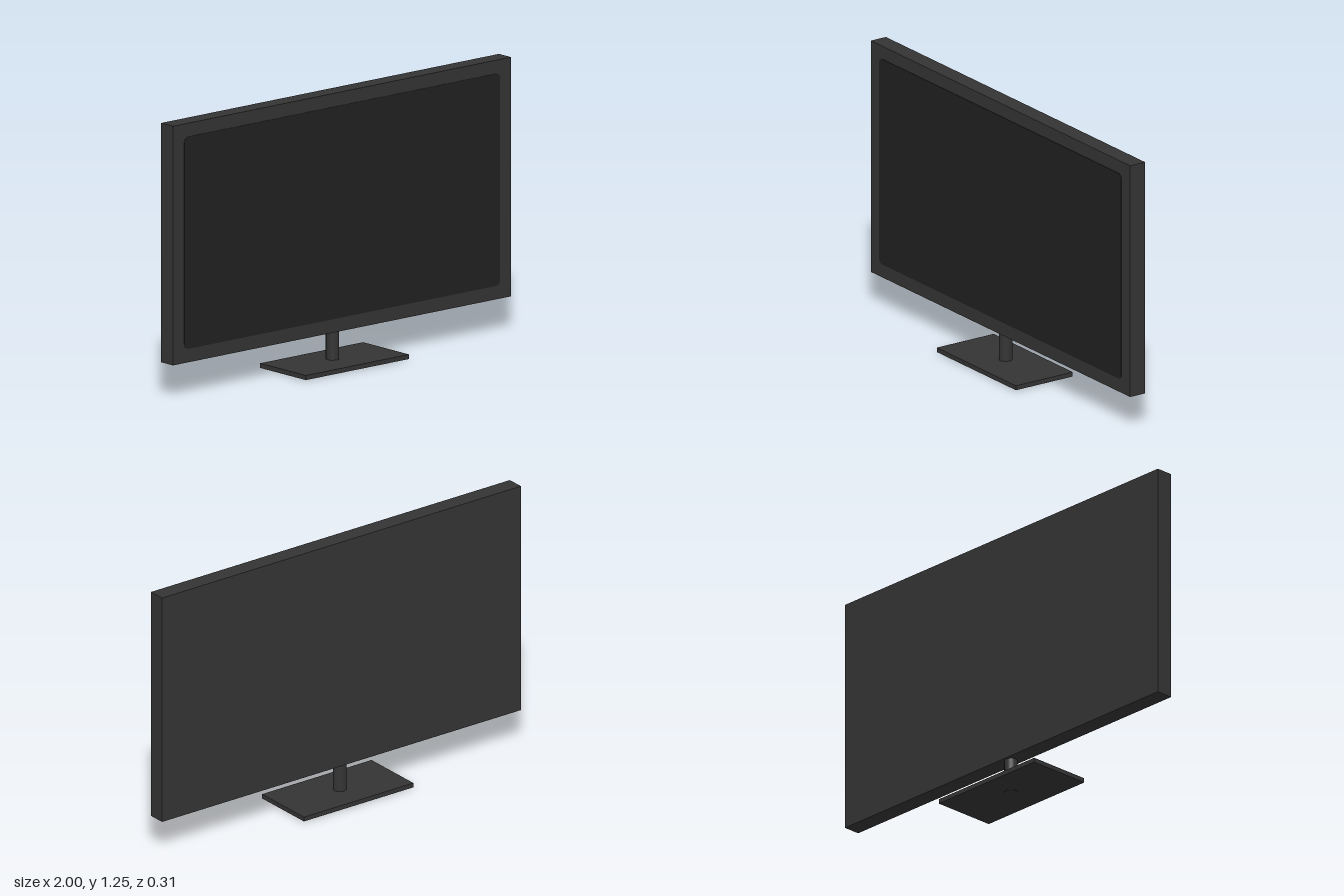
import * as THREE from 'three';

export function createModel() {
  const group = new THREE.Group();
  const casing = new THREE.MeshStandardMaterial({ color: 0x343434 });
  casing.name = 'charcoal casing';
  const glass = new THREE.MeshStandardMaterial({ color: 0x212121 });
  glass.name = 'dark screen';

  function add(name, geometry, material, x, y, z) {
    const mesh = new THREE.Mesh(geometry, material);
    mesh.name = name;
    mesh.position.set(x, y, z);
    group.add(mesh);
  }

  // Flat display housing
  add('housing', new THREE.BoxGeometry(2, 1.095, 0.082), casing, 0, 0.7025, -0.007);

  // Thin screen with small rounded corners
  const w = 0.934, h = 0.486, r = 0.025;
  const outline = new THREE.Shape();
  outline.absarc(w - r, h - r, r, 0, Math.PI / 2);
  outline.absarc(r - w, h - r, r, Math.PI / 2, Math.PI);
  outline.absarc(r - w, r - h, r, Math.PI, Math.PI * 1.5);
  outline.absarc(w - r, r - h, r, Math.PI * 1.5, Math.PI * 2);
  const plate = new THREE.ExtrudeGeometry(outline, { depth: 0.003, bevelEnabled: false, curveSegments: 6 });
  add('screen', plate, glass, 0, 0.703, 0.033);

  // Stand, set slightly off centre; the neck passes down through the foot
  add('neck', new THREE.CylinderGeometry(0.03, 0.03, 0.17, 32), casing, -0.02, 0.085, -0.008);
  add('foot', new THREE.BoxGeometry(0.61, 0.021, 0.31), casing, -0.015, 0.0125, 0);

  return group;
}
